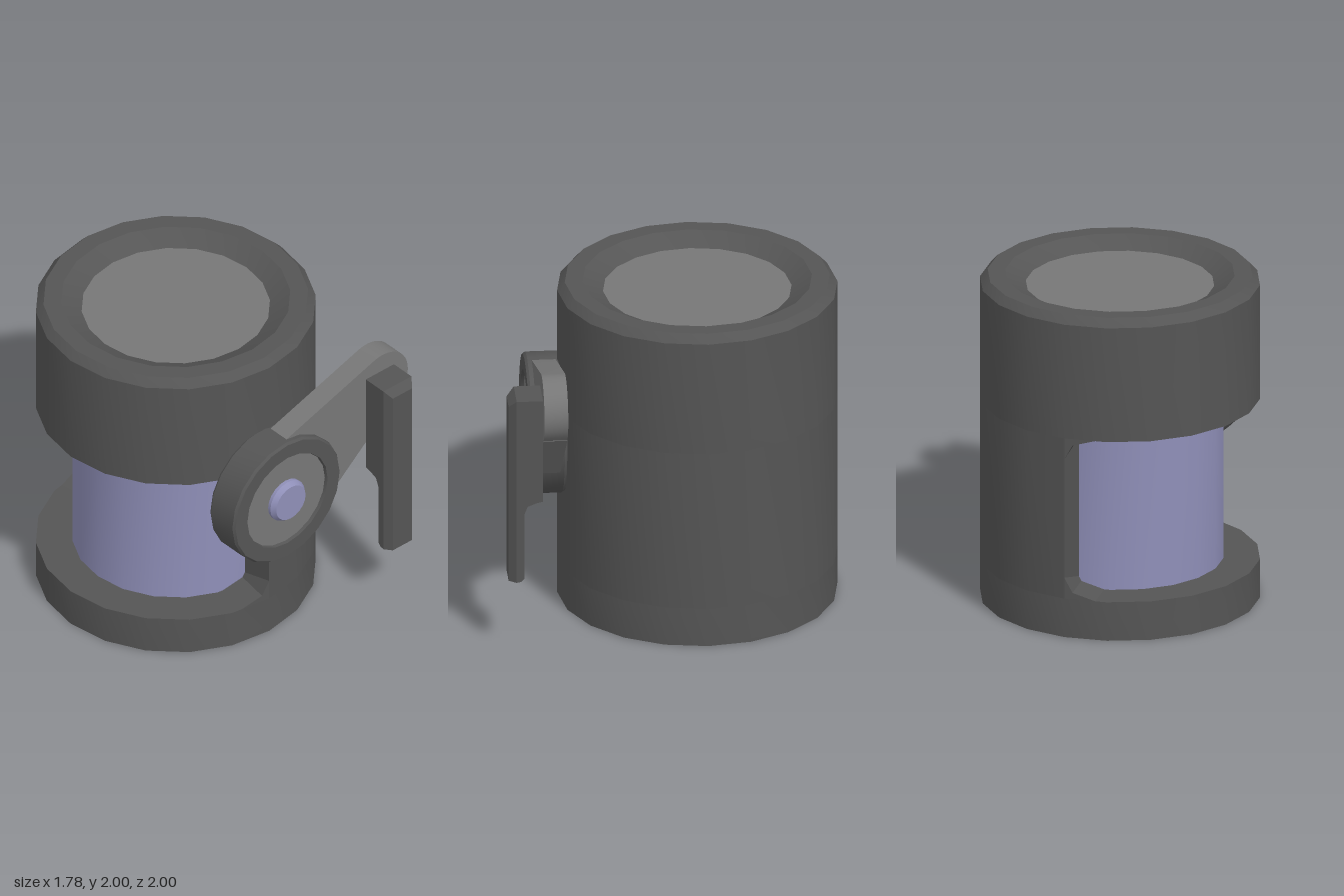
import * as THREE from 'three';
import { toCreasedNormals } from 'three/addons/utils/BufferGeometryUtils.js';

const SIDES = 20, CX = -0.065, CZ = -0.175, R = 0.825, CORE = 0.61;
const Y0 = 0.24, Y1 = 1.24; // window bottom and top

const paint = (color) => new THREE.MeshStandardMaterial({ color });
const pts = (list) => list.map(([x, y]) => new THREE.Vector2(x, y));
const lathe = (list) => new THREE.LatheGeometry(pts(list), SIDES);
const extrude = (shape, depth) =>
  new THREE.ExtrudeGeometry(shape, { depth, bevelEnabled: false, curveSegments: 8 });

export function createModel() {
  const model = new THREE.Group();
  const dark = paint(0x555555), mid = paint(0x777777), lilac = paint(0x8f8fb8);

  const add = (parent, name, geometry, material) => {
    const mesh = new THREE.Mesh(toCreasedNormals(geometry, 0.5), material);
    mesh.name = name;
    parent.add(mesh);
    return mesh;
  };

  // Cylindrical housing, open on one half between base and top collar
  const body = new THREE.Group();
  body.name = 'body';
  body.position.set(CX, 0, CZ);
  model.add(body);

  add(body, 'base', lathe([[0, 0], [R, 0], [R, Y0], [0, Y0]]), dark);
  add(body, 'topCollar', lathe([
    [0, Y1], [R, Y1], [R, 1.95], [0.78, 2], [0.675, 2], [0.555, 1.935],
  ]), dark);
  const lid = new THREE.CircleGeometry(0.555, SIDES);
  lid.rotateX(-Math.PI / 2).translate(0, 1.935, 0);
  add(body, 'topDisc', lid, mid);
  const core = new THREE.CylinderGeometry(CORE, CORE, Y1 - Y0, SIDES);
  core.translate(0, (Y0 + Y1) / 2, 0);
  add(body, 'innerCore', core, lilac);

  // Half-ring wall beside the window
  const ring = (r) => Array.from({ length: SIDES / 2 + 1 }, (_, i) => {
    const a = -Math.PI / 2 + (i * 2 * Math.PI) / SIDES;
    return [r * Math.cos(a), r * Math.sin(a)];
  });
  const wall = extrude(new THREE.Shape(pts([...ring(R), ...ring(CORE - 0.01).reverse()])), Y1 - Y0);
  wall.rotateX(-Math.PI / 2).translate(0, Y0, 0);
  add(body, 'sideWall', wall, dark);

  // Rounded window corners, mirrored to all four places
  const corner = extrude(new THREE.Shape(pts([[0, 0], [0.187, 0], [0.05, 0.04], [0, 0.13]])), 0.215);
  corner.translate(0, -(Y1 - Y0) / 2, -0.215).rotateY(Math.PI / SIDES).translate(0, 0, R);
  for (const sy of [1, -1]) {
    for (const sz of [1, -1]) {
      const mesh = add(body, 'windowCorner', corner, dark);
      mesh.scale.set(-1, sy, sz);
      mesh.position.y = (Y0 + Y1) / 2;
    }
  }

  // Round hub with recessed face and centre button
  const hub = new THREE.Group();
  hub.name = 'hub';
  hub.position.set(-0.09, 1.09, 0);
  model.add(hub);
  const turned = (list) => lathe(list).rotateX(Math.PI / 2);
  add(hub, 'hubRing', turned([
    [0, 0.62], [0.41, 0.62], [0.42, 0.635], [0.42, 0.825], [0.408, 0.84], [0.315, 0.84], [0.31, 0.82],
  ]), dark);
  const face = new THREE.CircleGeometry(0.312, SIDES);
  face.translate(0, 0, 0.82);
  add(hub, 'hubFace', face, mid);
  add(hub, 'hubButton', turned([[0.135, 0.81], [0.135, 0.84], [0.115, 0.87], [0, 0.87]]), lilac);

  // Crank arm with rounded end
  const arm = new THREE.Shape();
  arm.moveTo(-0.065, 1.505);
  arm.lineTo(-0.065, 0.94);
  arm.lineTo(0.3, 0.94);
  arm.lineTo(0.815, 1.385);
  arm.absarc(0.69, 1.545, 0.2, -0.9, 1.87, false);
  arm.closePath();
  const armGeometry = extrude(arm, 0.14);
  armGeometry.translate(0, 0, 0.66);
  add(model, 'crankArm', armGeometry, mid);

  // Handle: stepped side profile plus a chamfered front strip
  const handle = new THREE.Group();
  handle.name = 'handle';
  handle.position.x = 0.67;
  model.add(handle);
  const grip = extrude(new THREE.Shape(pts([
    [-0.955, 0.46], [-0.93, 0.465], [-0.91, 0.485], [-0.91, 0.9], [-0.89, 0.95],
    [-0.84, 0.97], [-0.8, 0.98], [-0.8, 1.63], [-0.955, 1.63],
  ])), 0.22);
  grip.translate(0, 0, -0.11).rotateY(Math.PI / 2);
  add(handle, 'grip', grip, dark);

  const strip = new THREE.BoxGeometry(0.22, 1.17, 0.045);
  strip.translate(0, 1.045, 0.9775);
  const p = strip.attributes.position;
  for (let i = 0; i < p.count; i++) {
    if (p.getZ(i) < 0.98) continue;
    p.setX(i, p.getX(i) * 0.69);
    if (p.getY(i) > 1) p.setY(i, 1.585);
  }
  add(handle, 'gripFront', strip, dark);

  return model;
}
